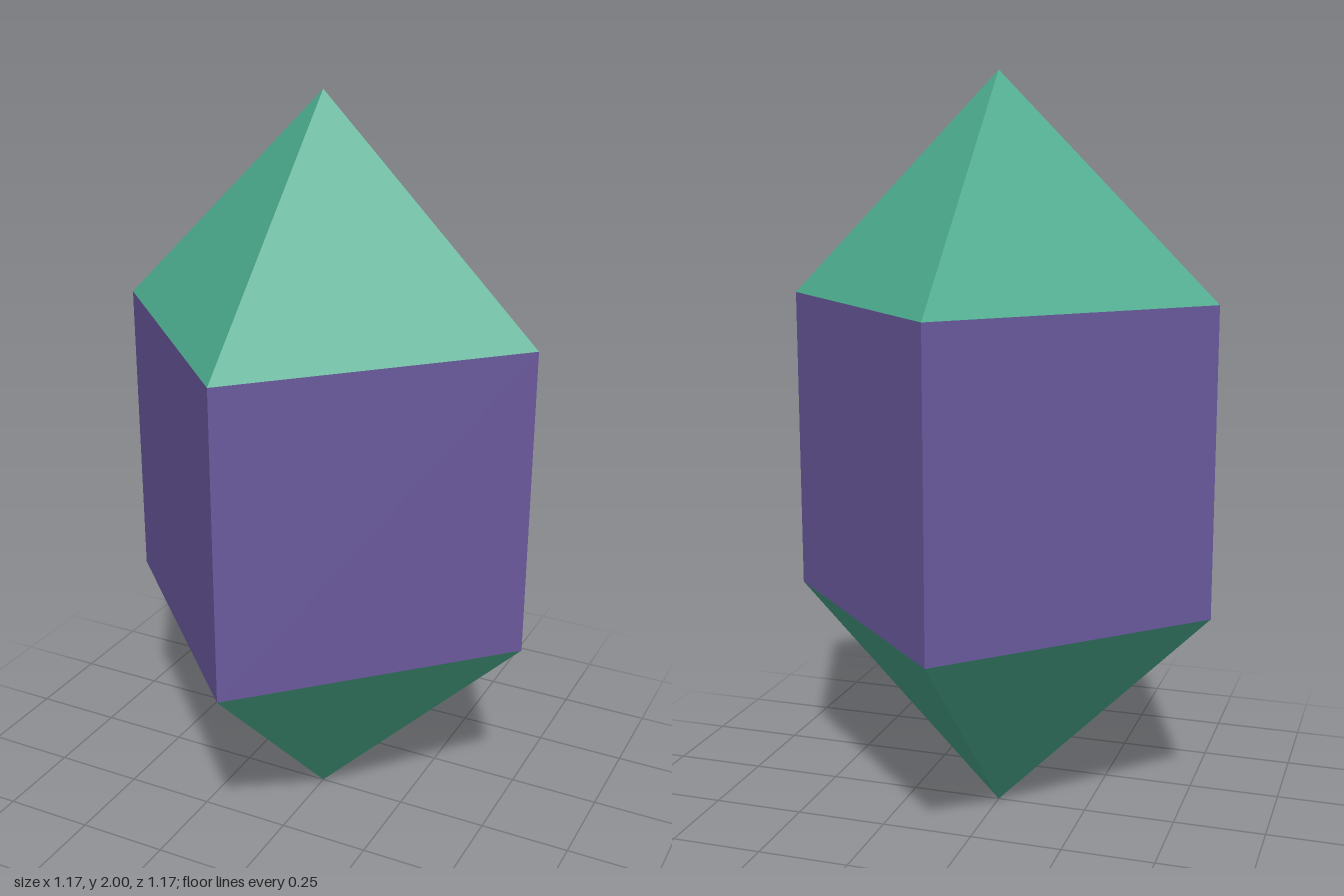
import * as THREE from 'three';

export function createModel() {
  const green = new THREE.MeshStandardMaterial({ name: 'green', color: 0x4bab8d, flatShading: true });
  const purple = new THREE.MeshStandardMaterial({ name: 'purple', color: 0x6b5a9f, flatShading: true });

  // Regular solid: every edge has the same length, corners lie on the x and z axes
  const radius = 2 - Math.SQRT2;
  const edge = radius * Math.SQRT2;

  const group = new THREE.Group();
  group.name = 'elongatedSquareBipyramid';
  const add = (name, geometry, material, y) => {
    const mesh = new THREE.Mesh(geometry, material);
    mesh.name = name;
    mesh.position.y = y;
    group.add(mesh);
    return mesh;
  };

  // Square prism in the middle
  add('middlePrism', new THREE.CylinderGeometry(radius, radius, edge, 4, 1, true), purple, 1);

  // Matching pyramids above and below
  const pyramid = new THREE.ConeGeometry(radius, radius, 4, 1, true);
  add('topPyramid', pyramid, green, 2 - radius / 2);
  add('bottomPyramid', pyramid, green, radius / 2).rotation.x = Math.PI;

  return group;
}
